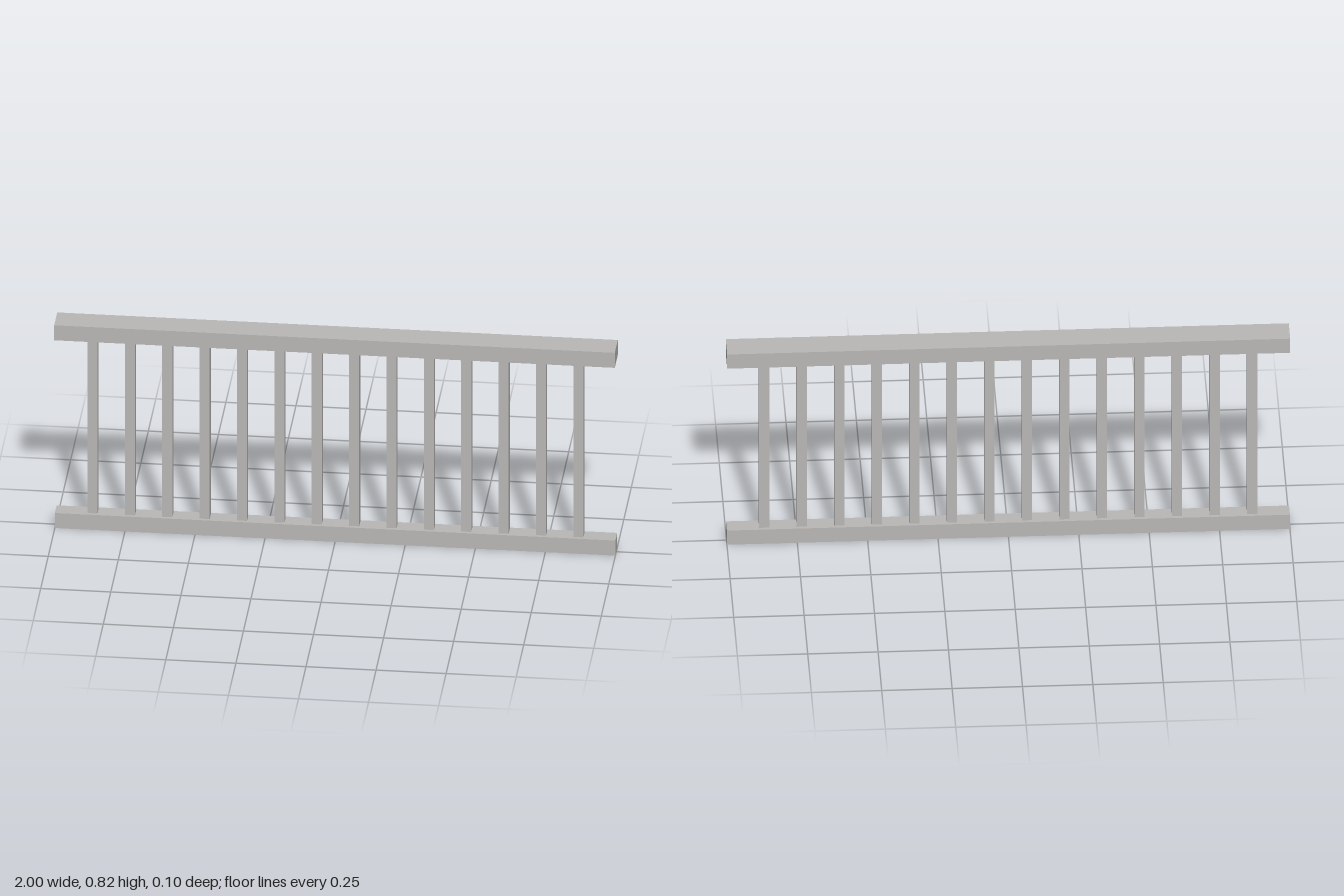
import * as THREE from 'three';

export function createModel() {
  const model = new THREE.Group();
  model.name = 'railing';
  const paint = new THREE.MeshStandardMaterial({ color: 0xb9b8b6 });
  paint.name = 'light grey paint';

  // box standing on height y
  const addBox = (name, w, h, d, x, y) => {
    const mesh = new THREE.Mesh(new THREE.BoxGeometry(w, h, d), paint);
    mesh.name = name;
    mesh.position.set(x, y + h / 2, 0);
    model.add(mesh);
  };

  // rails
  addBox('bottomRail', 2, 0.06, 0.06, 0, 0);
  addBox('topRail', 2, 0.06, 0.1, 0, 0.76);

  // evenly spaced square balusters between the rails
  const count = 14;
  const step = 2 / (count + 1);
  for (let i = 1; i <= count; i++) {
    addBox('baluster' + i, 0.036, 0.7, 0.036, -1 + i * step, 0.06);
  }
  return model;
}
